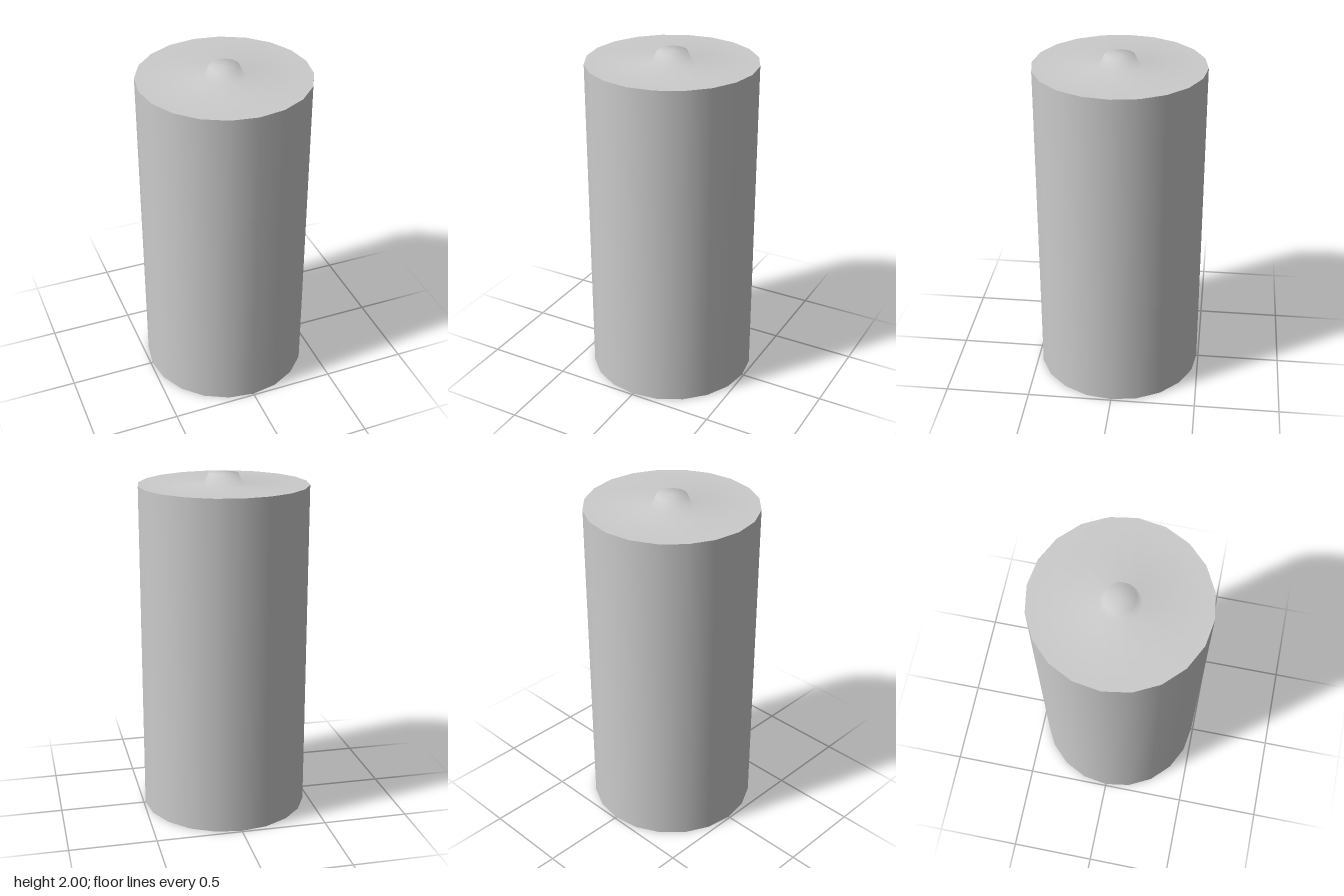
import * as THREE from 'three';

const SIDES = 20;
const RADIUS = 0.49;
const SHOULDER = 1.94;

export function createModel() {
  const group = new THREE.Group();
  const material = new THREE.MeshStandardMaterial({ color: 0xcccccc });
  const add = (name, geometry) => {
    const mesh = new THREE.Mesh(geometry, material);
    mesh.name = name;
    group.add(mesh);
    return mesh;
  };

  // Straight cylindrical casing
  add('casing', new THREE.CylinderGeometry(RADIUS, RADIUS, SHOULDER, SIDES, 1, true)).position.y = SHOULDER / 2;

  // Flat base, its corners aligned with the casing
  add('base', new THREE.CircleGeometry(RADIUS, SIDES)).rotation.x = Math.PI / 2;

  // Flat top flowing smoothly into the tapered raised terminal
  const profile = [
    [RADIUS, SHOULDER],
    [0.113, SHOULDER],
    [0.085, 2],
    [0, 2],
  ].map(([r, y]) => new THREE.Vector2(r, y));
  add('topCap', new THREE.LatheGeometry(profile, SIDES));

  return group;
}
